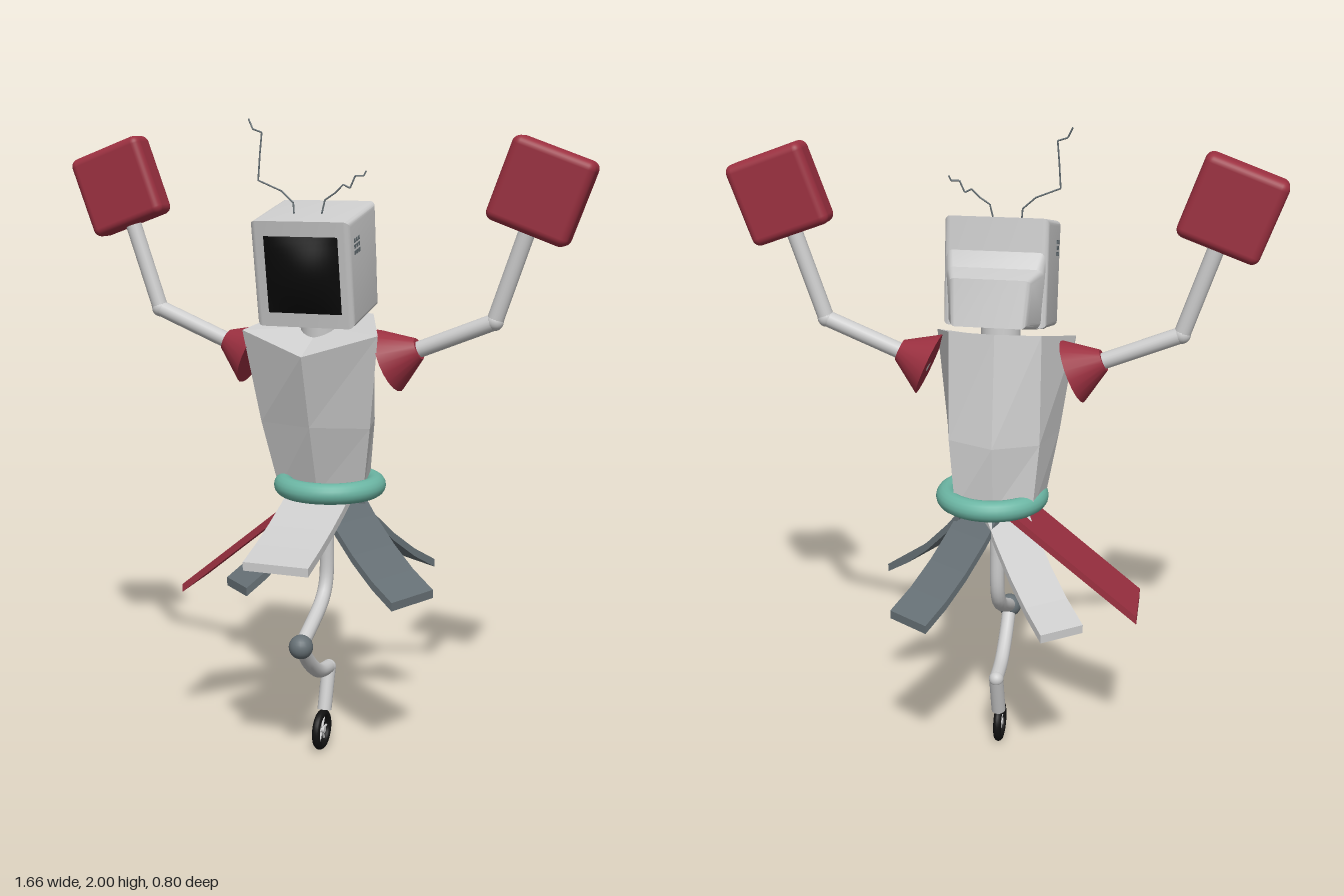
import * as THREE from 'three';
import { toCreasedNormals } from 'three/addons/utils/BufferGeometryUtils.js';
import { RoundedBoxGeometry } from 'three/addons/geometries/RoundedBoxGeometry.js';

const V = (x, y, z) => new THREE.Vector3(x, y, z);
const mat = (color, extra = {}) => new THREE.MeshStandardMaterial({ color, ...extra });

export function createModel() {
  const model = new THREE.Group();
  const grey = mat(0xcccccc), greyFlat = mat(0xcccccc, { flatShading: true });
  const red = mat(0x9b3040), redFlat = mat(0x9b3040, { flatShading: true });
  const slate = mat(0x667075), slateFlat = mat(0x667075, { flatShading: true });
  const teal = mat(0x6bb5a3), black = mat(0x111111);
  const blackScreen = mat(0x0a0a0a, { side: THREE.DoubleSide });

  const add = (name, geo, material, parent = model) => {
    const mesh = new THREE.Mesh(geo, material);
    mesh.name = name;
    parent.add(mesh);
    return mesh;
  };
  // Cylinder or cone running from a to b
  const limb = (name, a, b, ra, rb, material, parent) => {
    const m = add(name, new THREE.CylinderGeometry(rb, ra, a.distanceTo(b), 20), material, parent);
    m.position.copy(a).lerp(b, 0.5);
    m.quaternion.setFromUnitVectors(V(0, 1, 0), b.clone().sub(a).normalize());
    return m;
  };
  const ball = (name, p, r, material, parent) =>
    add(name, new THREE.SphereGeometry(r, 20, 14), material, parent).position.copy(p);

  // Torso: six-sided faceted rings, from front centre round by the left
  const ring = (fc, fl, bl, bc) => {
    const flip = ([x, y, z]) => [-x, y, z];
    return [fc, fl, bl, bc, flip(bl), flip(fl)];
  };
  const rings = [
    ring([0, 0.86, 0.03], [0.14, 0.86, 0], [0.12, 0.86, -0.12], [0, 0.86, -0.13]),
    ring([0, 1.08, 0.1], [0.178, 1.08, 0.05], [0.14, 1.08, -0.11], [0, 1.07, -0.147]),
    ring([0, 1.305, 0.167], [0.218, 1.37, 0.1], [0.14, 1.415, -0.09], [0, 1.415, -0.1]),
  ];
  const pos = [];
  for (let k = 0; k < 2; k++) for (let i = 0; i < 6; i++) {
    const j = (i + 1) % 6, lo = rings[k], hi = rings[k + 1];
    pos.push(...lo[i], ...lo[j], ...hi[j], ...lo[i], ...hi[j], ...hi[i]);
  }
  for (let i = 0; i < 6; i++) {
    const j = (i + 1) % 6;
    pos.push(0, 1.38, 0, ...rings[2][i], ...rings[2][j]);
    pos.push(0, 0.86, -0.05, ...rings[0][j], ...rings[0][i]);
  }
  const torso = new THREE.BufferGeometry();
  torso.setAttribute('position', new THREE.Float32BufferAttribute(pos, 3));
  torso.computeVertexNormals();
  add('torso', torso, greyFlat);
  limb('neck', V(0, 1.3, 0), V(0, 1.46, 0.01), 0.06, 0.06, grey);

  // Waist ring
  const belt = add('waistRing', new THREE.TorusGeometry(0.143, 0.033, 16, 48), teal);
  belt.rotation.x = Math.PI / 2;
  belt.position.set(0.02, 0.88, -0.03);

  // Skirt flaps: [end x, end z, end y, width, sag, material]
  const flaps = [
    [0, 0.43, 0.715, 0.205, 0.01, greyFlat],
    [-0.455, 0.02, 0.525, 0.21, 0, redFlat],
    [-0.26, -0.325, 0.58, 0.145, 0.03, greyFlat],
    [0.21, -0.32, 0.575, 0.155, 0.03, slateFlat],
    [0.33, 0.145, 0.575, 0.19, 0.03, slateFlat],
    [-0.205, 0.245, 0.59, 0.135, 0.03, slateFlat],
  ];
  for (const [ex, ez, ey, width, sag, material] of flaps) {
    const reach = Math.hypot(ex, ez);
    const g = new THREE.BoxGeometry(width, 0.026, 1, 1, 1, 4), p = g.attributes.position;
    for (let i = 0; i < p.count; i++) {
      const t = p.getZ(i) + 0.5;
      const y = THREE.MathUtils.lerp(0.865, ey, t) - sag * 4 * t * (1 - t);
      p.setXYZ(i, p.getX(i), p.getY(i) + y, THREE.MathUtils.lerp(0.04, reach, t));
    }
    g.computeVertexNormals();
    const flap = add('skirtFlap', g, material);
    flap.position.set(0.01, 0, -0.03);
    flap.rotation.y = Math.atan2(ex, ez);
  }

  // Head: bevelled side profiles (z, y) extruded across x
  const head = new THREE.Group();
  head.name = 'head';
  model.add(head);
  const profileBlock = (points, width, bevel) => {
    const depth = width - 2 * bevel;
    const g = new THREE.ExtrudeGeometry(new THREE.Shape(points.map(q => new THREE.Vector2(...q))), {
      depth, bevelEnabled: true, bevelSize: bevel, bevelThickness: bevel, bevelOffset: -bevel, bevelSegments: 4,
    });
    return g.translate(0, 0, -depth / 2).rotateY(-Math.PI / 2);
  };
  const casing = profileBlock([[0.13, 1.39], [0.188, 1.705], [-0.062, 1.758], [-0.1, 1.44]], 0.31, 0.018);
  add('headCasing', toCreasedNormals(casing, 0.6), grey, head);
  const rear = profileBlock([[-0.03, 1.42], [-0.03, 1.66], [-0.075, 1.66], [-0.1, 1.615],
    [-0.18, 1.6], [-0.21, 1.465]], 0.3, 0.02);
  const rp = rear.attributes.position;
  for (let i = 0; i < rp.count; i++) {
    const t = THREE.MathUtils.clamp((-0.07 - rp.getZ(i)) / 0.13, 0, 1);
    rp.setX(i, rp.getX(i) * (1 - 0.25 * t));
  }
  rear.computeVertexNormals();
  add('headRear', toCreasedNormals(rear, 0.6), grey, head);

  // Bulging screen
  const glass = new THREE.PlaneGeometry(0.232, 0.232, 14, 14), gp = glass.attributes.position;
  for (let i = 0; i < gp.count; i++) {
    const u = gp.getX(i) / 0.116, v = gp.getY(i) / 0.116;
    gp.setZ(i, 0.002 + 0.04 * (1 - u * u) * (1 - v * v));
  }
  glass.computeVertexNormals();
  const screen = add('screen', glass, blackScreen, head);
  screen.position.set(0.004, 1.547, 0.16);
  screen.rotation.x = 0.182;

  // Side vents
  for (const s of [-1, 1]) {
    const vent = new THREE.Group();
    vent.name = 'sideVent';
    vent.position.set(s * 0.155, 1.637, 0.11);
    vent.rotation.x = 0.2;
    head.add(vent);
    for (let i = -1; i <= 1; i++) for (let j = -1; j <= 1; j++)
      add('ventSlot', new THREE.BoxGeometry(0.003, 0.012, 0.012), slate, vent).position.set(0, i * 0.018, j * 0.018);
  }

  // Bent wire antennas
  const wires = [
    [[-0.045, 1.7], [-0.05, 1.755], [-0.09, 1.79], [-0.165, 1.82], [-0.16, 1.9], [-0.155, 1.96], [-0.185, 1.97], [-0.2, 2]],
    [[0.035, 1.7], [0.05, 1.765], [0.08, 1.785], [0.105, 1.81], [0.125, 1.8], [0.14, 1.835], [0.165, 1.835], [0.172, 1.85]],
  ];
  for (const w of wires) for (let i = 1; i < w.length; i++)
    limb('antenna', V(...w[i - 1], 0.103 - 0.003 * i), V(...w[i], 0.1 - 0.003 * i), 0.0025, 0.0025, slate, head);

  // Arms, mirrored
  for (const s of [-1, 1]) {
    const arm = new THREE.Group();
    arm.name = s > 0 ? 'leftArm' : 'rightArm';
    model.add(arm);
    const shoulder = V(s * 0.222, 1.285, 0), cuff = V(s * 0.315, 1.325, 0);
    const elbow = V(s * 0.545, 1.415, 0), wrist = V(s * 0.635, 1.68, 0);
    limb('shoulderCone', shoulder, cuff, 0.1, 0.034, red, arm);
    limb('upperArm', shoulder, elbow, 0.025, 0.025, grey, arm);
    ball('elbow', elbow, 0.027, grey, arm);
    limb('forearm', elbow, wrist, 0.025, 0.025, grey, arm);
    const hand = add('hand', new RoundedBoxGeometry(0.255, 0.255, 0.097, 4, 0.025), red, arm);
    hand.position.set(s * 0.675, 1.795, 0);
    hand.rotation.z = -s * 0.35;
  }

  // Single bent leg
  const leg = new THREE.Group();
  leg.name = 'leg';
  model.add(leg);
  const tube = (name, pts) => add(name, new THREE.TubeGeometry(
    new THREE.CatmullRomCurve3(pts.map(([y, z]) => V(0, y, z))), 32, 0.023, 14), grey, leg);
  tube('thigh', [[0.86, -0.05], [0.7, -0.057], [0.56, -0.05], [0.505, -0.015], [0.405, 0.172]]);
  ball('knee', V(0, 0.405, 0.172), 0.038, slate, leg);
  tube('shin', [[0.405, 0.172], [0.33, 0.1], [0.275, 0.015], [0.258, -0.078]]);
  ball('ankle', V(0, 0.258, -0.075), 0.024, grey, leg);
  limb('wheelStrut', V(0, 0.258, -0.075), V(0, 0.125, -0.035), 0.023, 0.023, grey, leg);

  // Wheel with spokes
  const wheel = new THREE.Group();
  wheel.name = 'wheel';
  wheel.position.set(0, 0.066, -0.01);
  wheel.rotation.y = Math.PI / 2;
  leg.add(wheel);
  add('tyre', new THREE.TorusGeometry(0.053, 0.013, 12, 36), black, wheel);
  add('hub', new THREE.CylinderGeometry(0.011, 0.011, 0.022, 14).rotateX(Math.PI / 2), grey, wheel);
  for (let i = 0; i < 6; i++) {
    const a = i * Math.PI / 3;
    limb('spoke', V(0, 0, 0), V(Math.cos(a) * 0.05, Math.sin(a) * 0.05, 0), 0.004, 0.004, grey, wheel);
  }
  return model;
}
